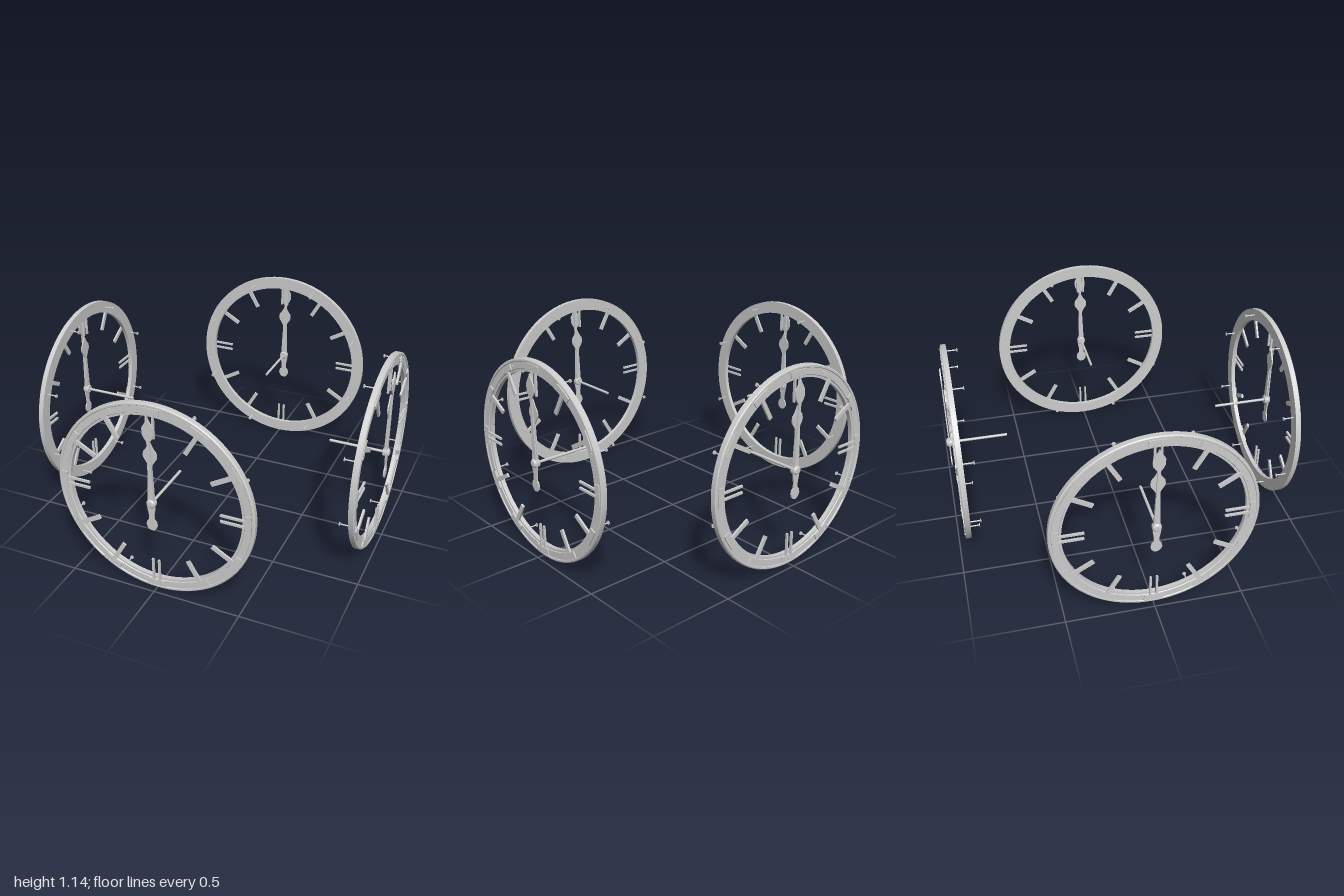
import * as THREE from 'three';
import { toCreasedNormals } from 'three/addons/utils/BufferGeometryUtils.js';

const CENTER_Y = 0.57;

export function createModel() {
  const metal = new THREE.MeshStandardMaterial({ color: 0xcccccc });
  metal.name = 'pale grey metal';
  const model = new THREE.Group();
  model.name = 'fourFacedClock';

  const add = (parent, name, geometry, x = 0, y = 0, z = 0) => {
    const mesh = new THREE.Mesh(geometry, metal);
    mesh.name = name;
    mesh.position.set(x, y, z);
    parent.add(mesh);
    return mesh;
  };

  // Closed lathe around the z axis from [radius, z] points
  const turned = (points, segments) => toCreasedNormals(
    new THREE.LatheGeometry(points.map(([r, z]) => new THREE.Vector2(r, z)), segments).rotateX(Math.PI / 2), 0.5);

  // Symmetric flat hand from [y, half width] points
  const handGeometry = (outline, depth) => {
    const right = outline.map(([y, w]) => new THREE.Vector2(w, y));
    const left = outline.slice(1, -1).reverse().map(([y, w]) => new THREE.Vector2(-w, y));
    return new THREE.ExtrudeGeometry(new THREE.Shape([...right, ...left]), { depth, bevelEnabled: false });
  };

  // Ring with a raised outer lip and an inner lip
  const ringGeometry = turned([
    [0.497, 0.93], [0.568, 0.93], [0.568, 0.958], [0.562, 0.963], [0.553, 0.963], [0.55, 0.959],
    [0.512, 0.959], [0.509, 0.955], [0.497, 0.955], [0.497, 0.93],
  ], 96);

  // Thin curved foot that fixes each hour marker to the ring
  const footShape = new THREE.Shape();
  footShape.absarc(0, 0, 0.548, Math.PI / 2 - 0.1, Math.PI / 2 + 0.1, false);
  footShape.absarc(0, 0, 0.514, Math.PI / 2 + 0.1, Math.PI / 2 - 0.1, true);
  const footGeometry = new THREE.ExtrudeGeometry(footShape, { depth: 0.008, bevelEnabled: false, curveSegments: 6 });
  const singleBar = new THREE.BoxGeometry(0.024, 0.137, 0.012);
  const doubleBar = new THREE.BoxGeometry(0.012, 0.137, 0.012);

  const pinGeometry = turned([
    [0, 0.868], [0.011, 0.868], [0.011, 0.873], [0.004, 0.874], [0.004, 0.958],
    [0.007, 0.959], [0.007, 0.962], [0, 0.963],
  ], 10);
  const studGeometry = new THREE.CylinderGeometry(0.006, 0.006, 0.006, 10).rotateX(Math.PI / 2);

  const hourHandGeometry = handGeometry([
    [-0.02, 0], [-0.015, 0.014], [0, 0.02], [0.03, 0.016], [0.1, 0.014], [0.2, 0.01], [0.225, 0.011],
    [0.245, 0.022], [0.265, 0.036], [0.283, 0.04], [0.305, 0.036], [0.325, 0.02], [0.345, 0.01], [0.365, 0],
  ], 0.007);
  const minuteHandGeometry = handGeometry([
    [-0.167, 0], [-0.163, 0.015], [-0.15, 0.027], [-0.133, 0.032], [-0.112, 0.027], [-0.098, 0.015],
    [-0.07, 0.015], [-0.03, 0.022], [0, 0.024], [0.03, 0.017], [0.2, 0.011], [0.345, 0.008], [0.37, 0.01],
    [0.39, 0.024], [0.41, 0.033], [0.445, 0.033], [0.465, 0.022], [0.485, 0.009], [0.505, 0],
  ], 0.008);
  const hubGeometry = turned([
    [0, 0.96], [0.022, 0.96], [0.026, 0.965], [0.026, 0.988], [0.02, 0.996], [0.01, 1], [0, 1],
  ], 20);
  const shaftGeometry = new THREE.CylinderGeometry(0.008, 0.008, 0.32, 12).rotateX(Math.PI / 2);

  for (let side = 0; side < 4; side++) {
    const clock = new THREE.Group();
    clock.name = 'clockFace';
    clock.position.y = CENTER_Y;
    clock.rotation.y = side * Math.PI / 2;
    model.add(clock);

    add(clock, 'ring', ringGeometry);

    // Hour markers: double bars at the quarters
    for (let hour = 0; hour < 12; hour++) {
      const marker = new THREE.Group();
      marker.name = 'hourMarker';
      marker.rotation.z = -hour * Math.PI / 6;
      clock.add(marker);
      add(marker, 'markerFoot', footGeometry, 0, 0, 0.958);
      if (hour % 3 === 0) {
        for (const s of [-1, 1]) add(marker, 'markerBar', doubleBar, s * 0.018, 0.447, 0.959);
        add(marker, 'markerStud', studGeometry, 0, 0.531, 0.967);
      } else {
        add(marker, 'markerBar', singleBar, 0, 0.451, 0.959);
      }
    }

    // Fixing pins projecting behind the ring
    for (let i = 0; i < 8; i++) {
      const a = (i + 0.5) * Math.PI / 4;
      add(clock, 'fixingPin', pinGeometry, 0.531 * Math.cos(a), 0.531 * Math.sin(a), 0);
    }

    // Hands, hub and drive shaft
    add(clock, 'hourHand', hourHandGeometry, 0, 0, 0.968);
    add(clock, 'minuteHand', minuteHandGeometry, 0, 0, 0.978);
    add(clock, 'hub', hubGeometry);
    add(clock, 'driveShaft', shaftGeometry, 0, 0, 0.805);
  }
  return model;
}
